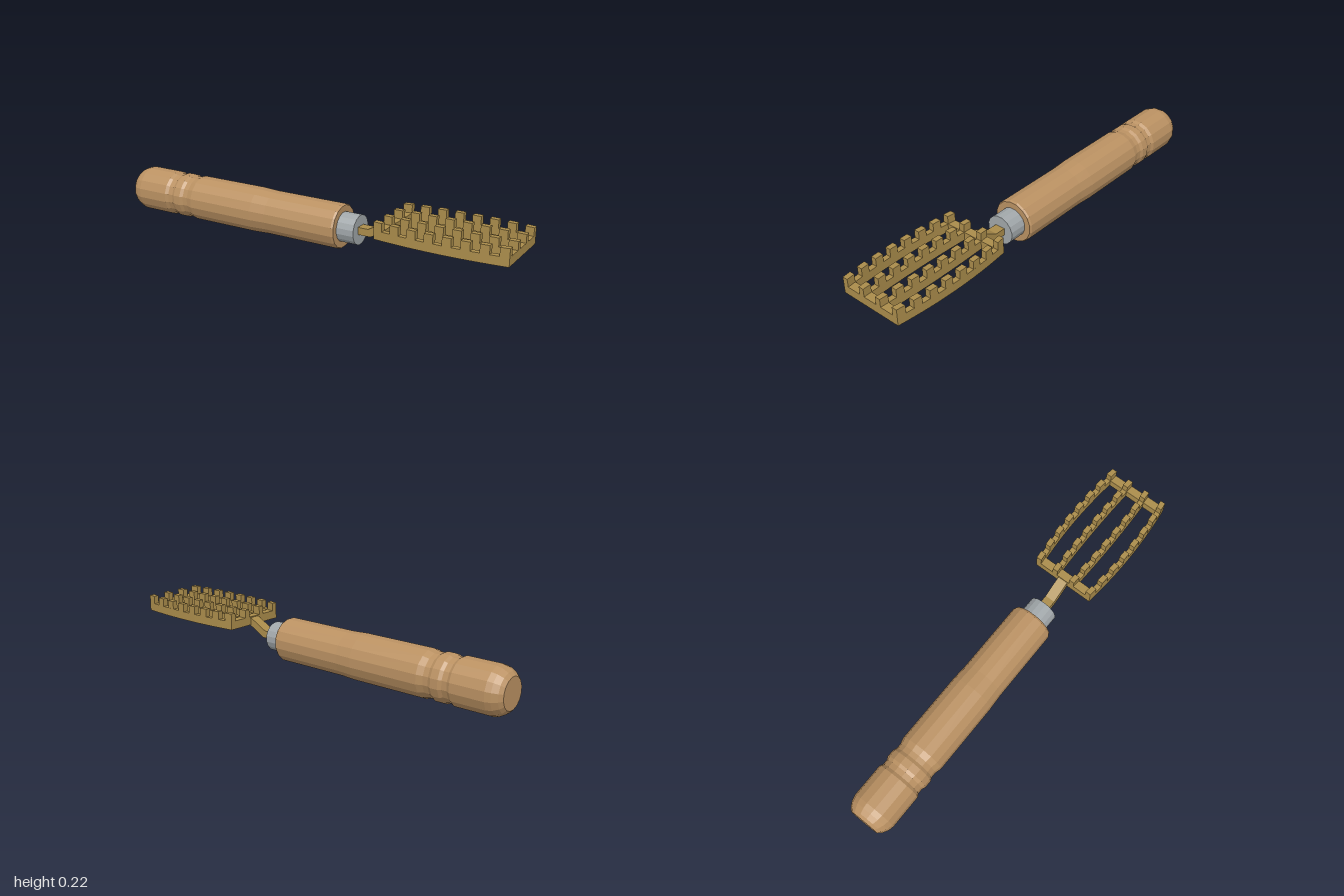
import * as THREE from 'three';

const wood = new THREE.MeshStandardMaterial({ color: 0xba9162, flatShading: true });
wood.name = 'wood';
const steel = new THREE.MeshStandardMaterial({ color: 0xa1a7aa, flatShading: true });
steel.name = 'steel';
const brass = new THREE.MeshStandardMaterial({ color: 0xaa8c4b, flatShading: true });
brass.name = 'brass';

const AXIS_Y = 0.107, SIDES = 16;
const X0 = 0.405, X1 = 1, TOOTH = 0.04, TEETH = 8;
const PITCH = (X1 - X0 - TOOTH) / (TEETH - 1);
const BASE = 0.14, RAIL_TOP = 0.18, TOOTH_TOP = 0.218, RAIL_W = 0.026;

function add(group, name, geometry, material) {
  const mesh = new THREE.Mesh(geometry, material);
  mesh.name = name;
  group.add(mesh);
  return mesh;
}

// Turned part along x; profile is a list of [x, radius]
function turned(profile) {
  const points = profile.map(([x, r]) => new THREE.Vector2(r / Math.cos(Math.PI / SIDES), x));
  const geo = new THREE.LatheGeometry(points, SIDES, Math.PI / SIDES);
  geo.rotateZ(-Math.PI / 2);
  geo.translate(0, AXIS_Y, 0);
  return geo;
}

// Piece of a bowed rail between xa and xb; z is its outer edge at the ends
function railPiece(xa, xb, z, bow, steps, y0, y1) {
  const side = Math.sign(z), outer = [], inner = [];
  for (let i = 0; i <= steps; i++) {
    const x = xa + (xb - xa) * i / steps;
    const t = (x - X0) / (X1 - X0) * 2 - 1;
    const edge = Math.abs(z) + bow * (1 - t * t);
    outer.push(new THREE.Vector2(x, side * edge));
    inner.push(new THREE.Vector2(x, side * (edge - RAIL_W)));
  }
  const shape = new THREE.Shape([...outer, ...inner.reverse()]);
  const geo = new THREE.ExtrudeGeometry(shape, { depth: y1 - y0, bevelEnabled: false });
  geo.rotateX(Math.PI / 2);
  geo.translate(0, y1, 0);
  return geo;
}

export function createModel() {
  const model = new THREE.Group();
  model.name = 'brandingTool';

  // Turned handle with two grooves near the butt
  add(model, 'handle', turned([
    [-1, 0], [-1, 0.07], [-0.985, 0.086], [-0.96, 0.1], [-0.935, 0.106],
    [-0.775, 0.106], [-0.76, 0.098], [-0.735, 0.098], [-0.72, 0.105], [-0.685, 0.105],
    [-0.67, 0.098], [-0.645, 0.098], [-0.615, 0.106],
    [-0.27, 0.106], [-0.19, 0.102], [0.165, 0.102], [0.175, 0.097], [0.175, 0],
  ]), wood);

  add(model, 'ferrule', turned([[0.17, 0], [0.17, 0.068], [0.26, 0.068], [0.26, 0]]), steel);

  // Square shank stepping up to the head
  const shank = new THREE.Shape([
    [0.25, 0.092], [0.322, 0.092], [0.415, 0.142], [0.415, 0.178], [0.4, 0.174], [0.31, 0.126], [0.25, 0.126],
  ].map(([x, y]) => new THREE.Vector2(x, y)));
  const shankGeo = new THREE.ExtrudeGeometry(shank, { depth: 0.05, bevelEnabled: false });
  shankGeo.translate(0, 0, -0.025);
  add(model, 'shank', shankGeo, brass);

  // Head: two cross bars, four bowed rails, rows of teeth
  const head = new THREE.Group();
  head.name = 'head';
  model.add(head);
  for (const x of [X0 + TOOTH / 2, X1 - TOOTH / 2]) {
    add(head, 'crossBar', new THREE.BoxGeometry(TOOTH, RAIL_TOP - BASE, 0.304), brass)
      .position.set(x, (BASE + RAIL_TOP) / 2, 0);
  }
  for (const side of [1, -1]) {
    for (const [edge, bow] of [[0.153, 0.019], [0.06, 0.008]]) {
      add(head, 'rail', railPiece(X0, X1, side * edge, bow, 15, BASE, RAIL_TOP), brass);
      for (let i = 0; i < TEETH; i++) {
        const x = X0 + i * PITCH;
        add(head, 'tooth', railPiece(x, x + TOOTH, side * edge, bow, 1, RAIL_TOP, TOOTH_TOP), brass);
      }
    }
  }
  return model;
}
